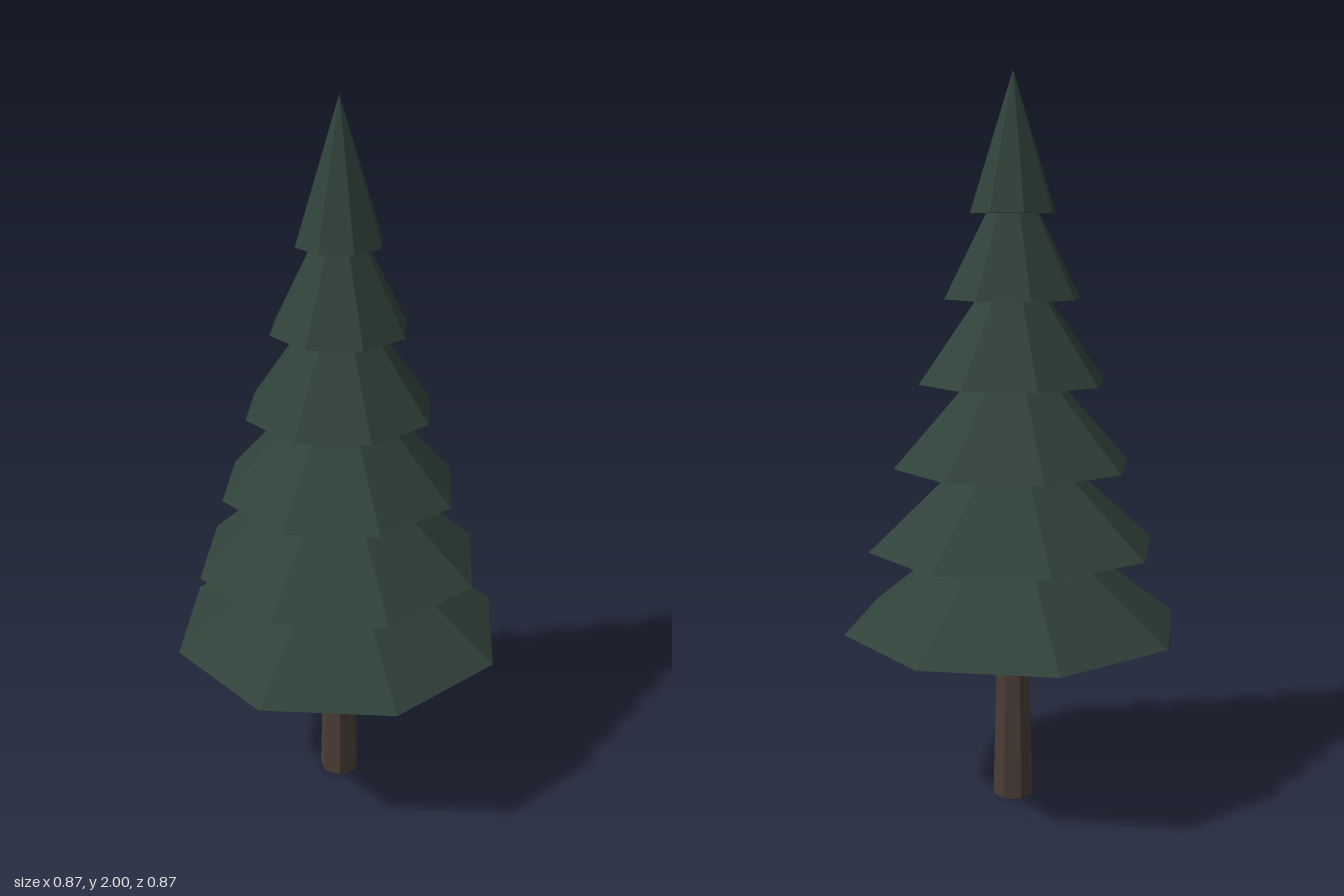
import * as THREE from 'three';

export function createModel() {
  const tree = new THREE.Group();
  tree.name = 'pineTree';

  const needles = new THREE.MeshStandardMaterial({ color: 0x30423a, flatShading: true });
  needles.name = 'dark pine green';
  const bark = new THREE.MeshStandardMaterial({ color: 0x4a3c35, flatShading: true });
  bark.name = 'bark brown';

  // Tapered seven-sided trunk, one corner pointing to -x, ending inside the lowest tier
  const trunkHeight = 0.6;
  const trunk = new THREE.Mesh(
    new THREE.CylinderGeometry(0.041, 0.057, trunkHeight, 7, 1, false, -Math.PI / 2),
    bark
  );
  trunk.name = 'trunk';
  trunk.position.y = trunkHeight / 2;
  tree.add(trunk);

  // Six octagonal cones of equal height, shrinking evenly towards the tip
  const tiers = 6;
  const tierHeight = 0.37;
  for (let i = 0; i < tiers; i++) {
    const t = i / (tiers - 1);
    const radius = THREE.MathUtils.lerp(0.473, 0.118, t);
    const base = THREE.MathUtils.lerp(0.5, 2 - tierHeight, t);
    const tier = new THREE.Mesh(
      new THREE.ConeGeometry(radius, tierHeight, 8, 1, false, Math.PI / 8),
      needles
    );
    tier.name = `foliageTier${i + 1}`;
    tier.position.y = base + tierHeight / 2;
    tree.add(tier);
  }

  return tree;
}
